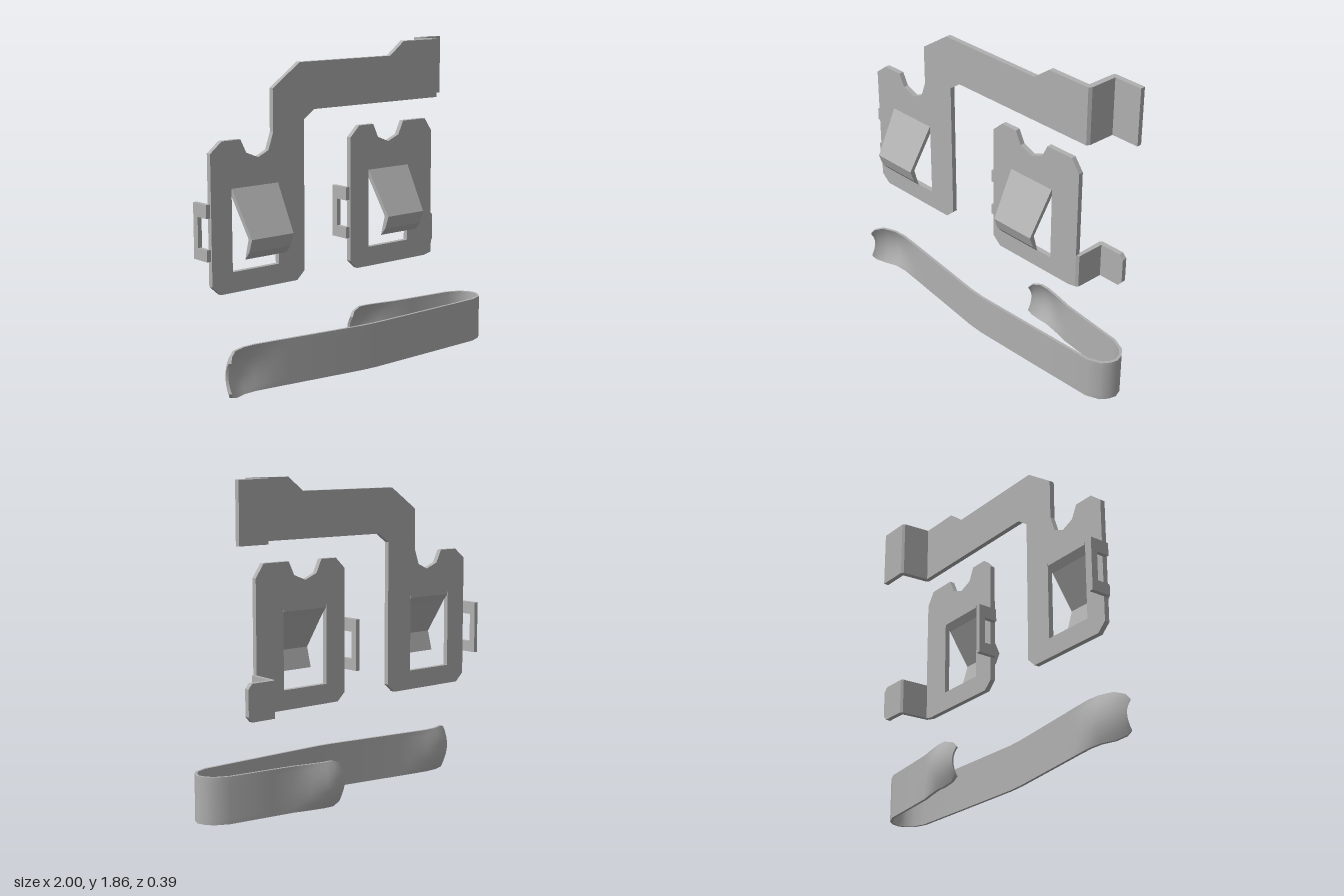
import * as THREE from 'three';
import { toCreasedNormals } from 'three/addons/utils/BufferGeometryUtils.js';

const metal = new THREE.MeshStandardMaterial({ color: 0xb0b0b0 });
metal.name = 'grey metal';

const T = 0.03; // sheet thickness
const toShape = (pts) => new THREE.Shape(pts.map(([x, y]) => new THREE.Vector2(x, y)));
const extrude = (shape, depth) => new THREE.ExtrudeGeometry(shape, { depth, bevelEnabled: false });

function part(name, geometry) {
  const mesh = new THREE.Mesh(geometry, metal);
  mesh.name = name;
  return mesh;
}

// Flat sheet in the xy plane, with an optional rectangular window
function sheet(name, pts, z, window) {
  const shape = toShape(pts);
  if (window) {
    const [x0, x1, y0, y1] = window;
    shape.holes.push(new THREE.Path([[x0, y0], [x0, y1], [x1, y1], [x1, y0]].map(([x, y]) => new THREE.Vector2(x, y))));
  }
  return part(name, extrude(shape, T).translate(0, 0, z));
}

// Profile of [z, y] points, extruded along x
const alongX = (pts, x0, x1) => extrude(toShape(pts), x1 - x0).rotateY(-Math.PI / 2).translate(x1, 0, 0);

// Profile of [x, z] points, extruded along y
const alongY = (pts, y0, y1) => extrude(toShape(pts), y1 - y0).rotateX(Math.PI / 2).translate(0, y1, 0);

// Bent spring tongue that hangs forward from the top of a window, tapering downward
function tongue(x0, x1) {
  const g = alongX([[0, 1.13], [0.03, 1.13], [0.183, 0.873], [0.157, 0.8], [0.12, 0.757], [0.152, 0.873], [0.03, 1.075], [0, 1.115]], x0, x1);
  const p = g.attributes.position, mid = (x0 + x1) / 2;
  for (let i = 0; i < p.count; i++) {
    const t = Math.min(1, (1.13 - p.getY(i)) / 0.257);
    p.setX(i, mid + (p.getX(i) - mid) * (1 - 0.1 * t));
  }
  g.computeVertexNormals();
  return part('springTongue', g);
}

// Small C-shaped side loop bent backward from the plate edge
function sideLoop(x0, x1, y0, y1) {
  const a = y0 + 0.065, b = y1 - 0.075;
  return part('sideLoop', alongX([[0.02, y0], [0.02, a], [-0.06, a], [-0.06, b], [0.02, b], [0.02, y1], [-0.1, y1], [-0.1, y0]], x0, x1));
}

// Long strip folded round at the right, with domed rounded ends
function springStrip() {
  // x, z, backward bulge, half height
  const stations = [
    [-0.965, 0.165, 0.03, 0.085], [-0.95, 0.147, 0.035, 0.112], [-0.9, 0.113, 0.04, 0.132], [-0.82, 0.085, 0.035, 0.1325],
    [-0.74, 0.082, 0.018, 0.1325], [-0.62, 0.097, 0, 0.1325], [-0.525, 0.111, 0, 0.1325], [-0.05, 0.178, 0, 0.1325],
    [0.05, 0.185, 0, 0.1325], [0.45, 0.179, 0, 0.1325], [0.87, 0.171, 0, 0.1325], [0.945, 0.142, 0, 0.1325],
    [0.975, 0.105, 0, 0.1325], [0.99, 0.065, 0, 0.1325], [0.978, 0.02, 0, 0.1325], [0.945, -0.022, 0, 0.1325],
    [0.87, -0.057, 0, 0.1325], [0.6, -0.09, 0, 0.1325], [0.47, -0.106, 0, 0.1325], [0.37, -0.13, 0.015, 0.1325],
    [0.28, -0.148, 0.034, 0.1325], [0.22, -0.149, 0.04, 0.1325], [0.165, -0.137, 0.036, 0.115], [0.14, -0.125, 0.03, 0.085],
  ];
  const K = 9, ring = 2 * K, h = 0.008, pos = [], idx = [];
  stations.forEach(([x, z, bulge, hh], i) => {
    const a = stations[Math.max(0, i - 1)], b = stations[Math.min(stations.length - 1, i + 1)];
    const len = Math.hypot(b[0] - a[0], b[1] - a[1]);
    const nx = (b[1] - a[1]) / len * h, nz = -(b[0] - a[0]) / len * h;
    for (let k = 0; k < ring; k++) {
      const side = k < K ? 1 : -1;
      const v = (k < K ? k : ring - 1 - k) / (K - 1) * 2 - 1;
      pos.push(x + nx * side, 0.1325 + v * hh, z + nz * side - bulge * (1 - v * v));
    }
  });
  for (let i = 0; i < stations.length - 1; i++) {
    for (let k = 0; k < ring; k++) {
      const a = i * ring + k, b = i * ring + (k + 1) % ring;
      idx.push(a, b, a + ring, b, b + ring, a + ring);
    }
  }
  const last = (stations.length - 1) * ring;
  for (let k = 0; k < K - 1; k++) {
    const m = ring - 1 - k;
    idx.push(k, m, k + 1, k + 1, m, m - 1);
    idx.push(last + k, last + k + 1, last + m, last + k + 1, last + m - 1, last + m);
  }
  const g = new THREE.BufferGeometry();
  g.setAttribute('position', new THREE.Float32BufferAttribute(pos, 3));
  g.setIndex(idx);
  return part('springStrip', toCreasedNormals(g, 0.9));
}

function createModel() {
  const model = new THREE.Group();
  model.name = 'contactClips';

  // Tall clip with the long arm
  const armClip = new THREE.Group();
  armClip.name = 'armClip';
  armClip.add(
    sheet('armPlate', [
      [-0.975, 0.61], [-0.92, 0.56], [-0.397, 0.56], [-0.343, 0.61], [-0.343, 1.46], [-0.27, 1.513],
      [0.65, 1.513], [0.65, 1.858], [0.405, 1.858], [0.3, 1.778], [-0.37, 1.778], [-0.557, 1.647],
      [-0.557, 1.41], [-0.59, 1.315], [-0.66, 1.283], [-0.74, 1.315], [-0.777, 1.39], [-0.9, 1.39], [-0.975, 1.33],
    ], 0, [-0.84, -0.525, 0.674, 1.13]),
    tongue(-0.838, -0.527),
    sideLoop(-1, -0.975, 0.75, 1.06),
    part('armEndFold', alongY([
      [0.65, 0.03], [0.675, 0.03], [0.688, 0.012], [0.704, -0.148], [0.875, -0.148],
      [0.875, -0.178], [0.685, -0.178], [0.672, -0.165], [0.655, 0],  [0.65, 0],
    ], 1.513, 1.858)),
  );

  // Short clip with the small foot
  const footClip = new THREE.Group();
  footClip.name = 'footClip';
  footClip.add(
    sheet('footPlate', [
      [-0.003, 0.61], [0.05, 0.56], [0.587, 0.56], [0.635, 0.57], [0.635, 1.315], [0.58, 1.393], [0.405, 1.393],
      [0.367, 1.315], [0.287, 1.283], [0.207, 1.315], [0.17, 1.393], [0.063, 1.393], [-0.003, 1.33],
    ], 0, [0.135, 0.445, 0.674, 1.13]),
    tongue(0.137, 0.443),
    sideLoop(-0.03, -0.003, 0.745, 1.043),
    part('footFold', alongY([
      [0.635, 0.03], [0.652, 0.02], [0.667, -0.148], [0.68, -0.148], [0.68, -0.178], [0.65, -0.178], [0.638, -0.165], [0.63, 0],
    ], 0.57, 0.78)),
    sheet('foot', [[0.68, 0.57], [0.8, 0.57], [0.825, 0.6], [0.825, 0.752], [0.8, 0.78], [0.68, 0.78]], -0.178),
  );

  model.add(armClip, footClip, springStrip());
  return model;
}

export { createModel };
